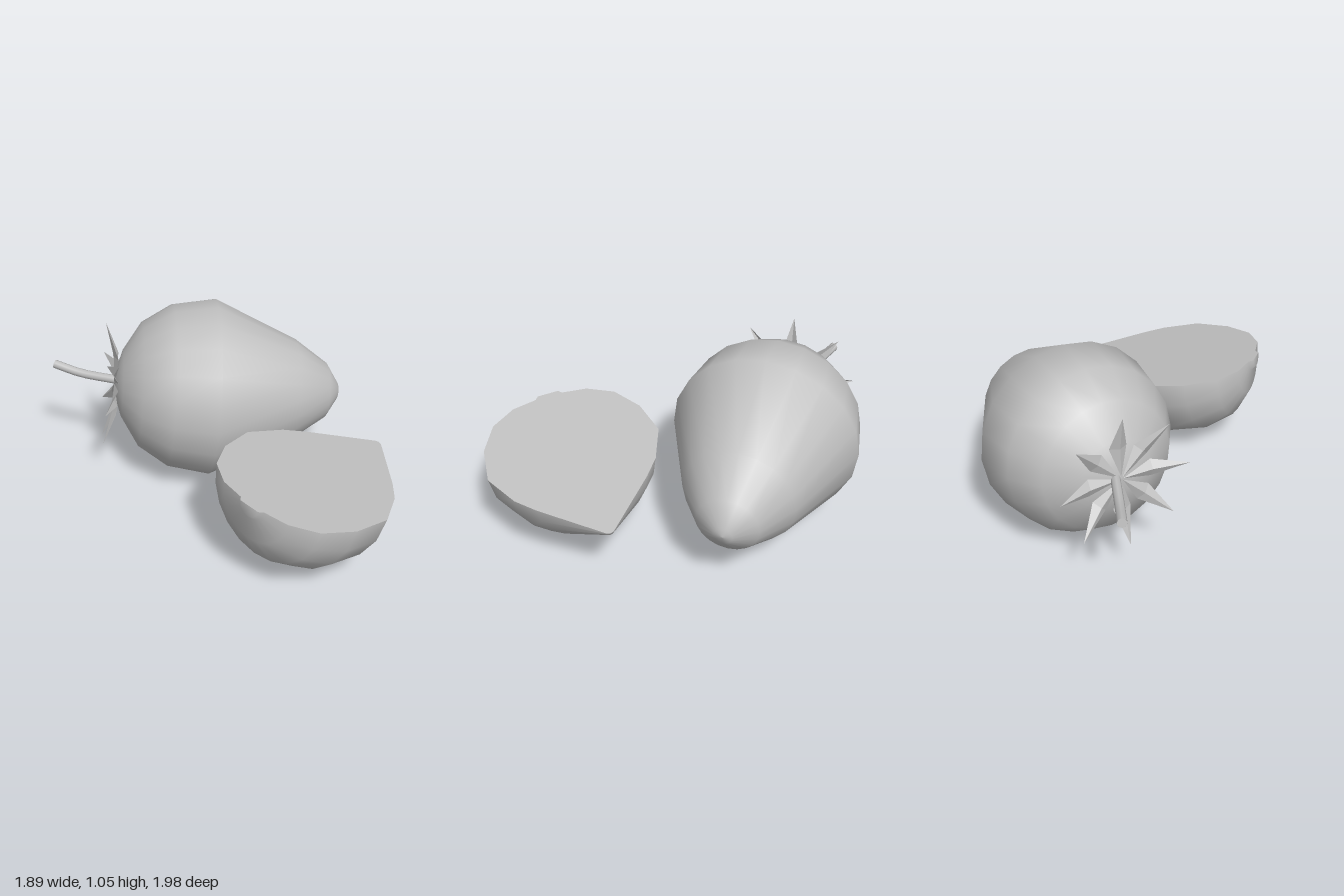
import * as THREE from 'three';

const skin = new THREE.MeshStandardMaterial({ color: 0xc0c0c0, side: THREE.DoubleSide });
skin.name = 'plain grey';

const SIDES = 20;
const vec2 = (list) => list.map(([r, t]) => new THREE.Vector2(r, t));

function add(parent, name, geometry) {
  const mesh = new THREE.Mesh(geometry, skin);
  mesh.name = name;
  parent.add(mesh);
  return mesh;
}

// Group whose local Y runs from stalk to tip and whose local Z points upward
function fruitFrame(name, origin, axis, up) {
  const y = new THREE.Vector3(...axis).normalize();
  const x = new THREE.Vector3().crossVectors(y, new THREE.Vector3(...up)).normalize();
  const z = new THREE.Vector3().crossVectors(x, y);
  const group = new THREE.Group();
  group.name = name;
  group.quaternion.setFromRotationMatrix(new THREE.Matrix4().makeBasis(x, y, z));
  group.position.set(...origin);
  return group;
}

// Pointed leaf, folded along its midrib, reaching out along local Z
function leafGeometry() {
  const base = [0, -0.58, 0.01], tip = [0, -0.638, 0.375];
  const left = [-0.05, -0.562, 0.18], right = [0.05, -0.562, 0.18], rib = [0, -0.59, 0.18];
  const faces = [base, rib, left, left, rib, tip, base, right, rib, rib, right, tip];
  const g = new THREE.BufferGeometry();
  g.setAttribute('position', new THREE.Float32BufferAttribute(faces.flat(), 3));
  g.computeVertexNormals();
  return g;
}

export function createModel() {
  const model = new THREE.Group();
  model.name = 'strawberries';

  // Whole berry, radius and distance along its axis
  const whole = fruitFrame('wholeStrawberry', [0, 0.54, -0.47], [0.995, -0.1, -0.03], [0.1, 0.995, 0]);
  add(whole, 'wholeFruit', new THREE.LatheGeometry(vec2([
    [0, -0.578], [0.085, -0.571], [0.2, -0.535], [0.373, -0.428], [0.488, -0.25],
    [0.53, 0], [0.31, 0.5], [0.17, 0.706], [0.05, 0.785], [0, 0.795],
  ]), SIDES));

  // Ring of leaves round the stalk
  for (let i = 0; i < 8; i++) {
    add(whole, 'leaf', leafGeometry()).rotation.y = (i * Math.PI) / 4;
  }
  model.add(whole);

  // Curved stalk with a flat end
  const path = new THREE.CatmullRomCurve3([
    new THREE.Vector3(-0.55, 0.603, -0.475),
    new THREE.Vector3(-0.78, 0.61, -0.565),
    new THREE.Vector3(-0.935, 0.642, -0.63),
  ]);
  add(model, 'stalk', new THREE.TubeGeometry(path, 6, 0.026, 8));
  const end = add(model, 'stalkEnd', new THREE.CircleGeometry(0.026, 8));
  end.position.copy(path.getPoint(1));
  end.quaternion.setFromUnitVectors(new THREE.Vector3(0, 0, 1), path.getTangent(1));

  // Halved berry, cut face upward
  const profile = vec2([
    [0, -0.468], [0.06, -0.468], [0.08, -0.444], [0.22, -0.42], [0.36, -0.33], [0.455, -0.16],
    [0.487, 0.06], [0.395, 0.26], [0.305, 0.368], [0.02, 0.655], [0, 0.662],
  ]);
  const half = fruitFrame('halfStrawberry', [0.452, 0.538, 0.494], [0.737, -0.148, -0.675], [0.171, 1, -0.033]);
  add(half, 'halfFruit', new THREE.LatheGeometry(profile, SIDES / 2, Math.PI / 2, Math.PI));
  const mirrored = profile.slice(1, -1).reverse().map((p) => new THREE.Vector2(-p.x, p.y));
  add(half, 'cutFace', new THREE.ShapeGeometry(new THREE.Shape([...profile, ...mirrored])));
  model.add(half);

  return model;
}
